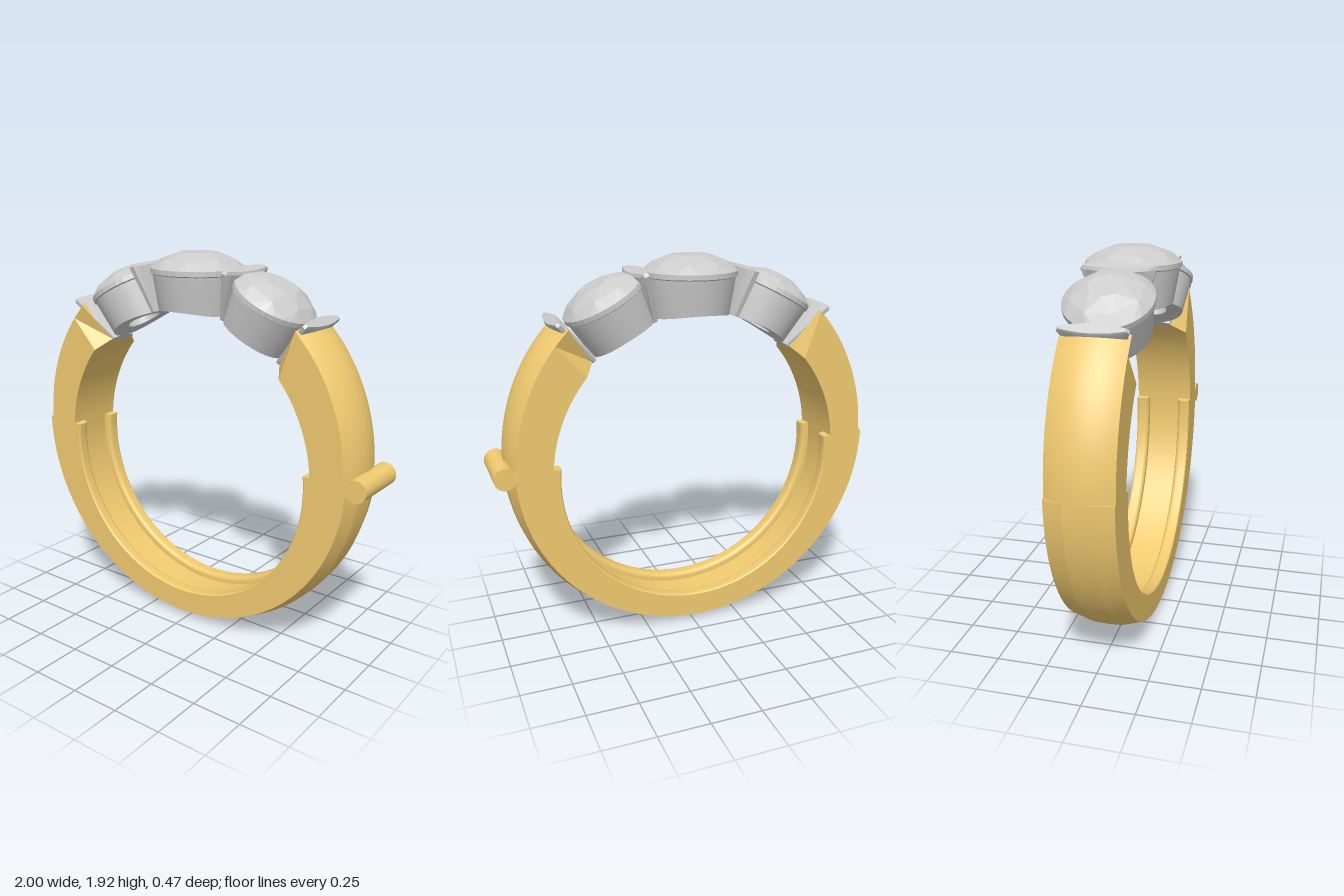
import * as THREE from 'three';
import { toCreasedNormals } from 'three/addons/utils/BufferGeometryUtils.js';
import { ConvexGeometry } from 'three/addons/geometries/ConvexGeometry.js';

const gold = new THREE.MeshStandardMaterial({ color: 0xf0ca70 });
const silver = new THREE.MeshStandardMaterial({ color: 0xcccccc });
const gemMat = new THREE.MeshStandardMaterial({ color: 0xcccccc, flatShading: true });
const RAD = Math.PI / 180;
const HALF = 0.157;      // half width of the band
const FINGER = 0.745;    // finger hole radius
const HOLE_Y = 0.9;      // finger hole centre height
const OUTER_Y = 0.965;   // outer circle centre height

function part(name, geometry, material, crease = 0.5) {
  const mesh = new THREE.Mesh(crease ? toCreasedNormals(geometry, crease) : geometry, material);
  mesh.name = name;
  return mesh;
}

// Closed solid through equal cross-sections; flat = the same section in 2D, counter-clockwise
function loft(sections, flat) {
  const n = flat.length, last = (sections.length - 1) * n, index = [];
  for (let i = 0; i < sections.length - 1; i++) {
    for (let j = 0; j < n; j++) {
      const k = (j + 1) % n, a = i * n + j, b = i * n + k;
      index.push(a, b, b + n, a, b + n, a + n);
    }
  }
  for (const [a, b, c] of THREE.ShapeUtils.triangulateShape(flat, [])) {
    index.push(a, c, b, last + a, last + b, last + c);
  }
  const g = new THREE.BufferGeometry();
  g.setAttribute('position', new THREE.Float32BufferAttribute(sections.flat(2), 3));
  g.setIndex(index);
  return g;
}

const polar = (cy, r, a, z) => [r * Math.cos(a), cy + r * Math.sin(a), z];

// Sweep inner and outer profile points [z, r] around their own circles
function bandGeometry(inner, outer, innerY, inAngles, outAngles, stops, taper) {
  const sections = stops.map((t) => [
    ...inner.map(([z, r]) => polar(innerY, r, THREE.MathUtils.lerp(...inAngles, t) * RAD, z * taper(t))),
    ...outer.map(([z, r]) => polar(OUTER_Y, r, THREE.MathUtils.lerp(...outAngles, t) * RAD, z)),
  ]);
  return loft(sections, [...inner, ...outer].map(([z, r]) => new THREE.Vector2(z, r)));
}

const steps = (n, end = 1) => Array.from({ length: n + 1 }, (_, i) => (end * i) / n);

function lowerBand() {
  // two rounded rails with a groove between them
  const rail = [[HALF, 0.722], [0.152, 0.717], [0.145, 0.715]];
  for (let i = 0; i <= 8; i++) {
    const a = (i / 8) * Math.PI / 2;
    rail.push([0.112 - 0.024 * Math.sin(a), 0.739 - 0.024 * Math.cos(a)]);
  }
  rail.push([0.088, 0.755]);
  const inner = [...rail.map(([z, r]) => [-z, r]), ...rail.slice().reverse()];
  const outer = [[HALF, 0.935], [0.065, 0.962], [0, 0.965], [-0.065, 0.962], [-HALF, 0.935]];
  return bandGeometry(inner, outer, 0.87, [173.6, 366.4], [180, 360], steps(72), () => 1);
}

function shoulder() {
  const outer = steps(14).map((t) => {
    const s = 1 - 2 * t;
    return [HALF * s, 0.965 - 0.045 * s * s];
  });
  const bend = 0.87; // where the tapered end facet starts
  return bandGeometry([[-HALF, 0.752], [HALF, 0.752]], outer, HOLE_Y, [3.5, 46], [-1, 45],
    [...steps(24, bend), 1], (t) => (t > bend ? 1 - 0.55 * (t - bend) / (1 - bend) : 1));
}

// Faceted stone with its girdle at y = 0
function gemGeometry(r) {
  const pts = [new THREE.Vector3(0, -0.6 * r, 0)];
  const rows = [[1, -0.012, 32, 0], [1, 0.012, 32, 0], [0.8, 0.053, 8, 0.5], [0.4, 0.087, 8, 0]];
  for (const [k, y, n, turn] of rows) {
    for (let i = 0; i < n; i++) {
      const a = ((i + turn) / n) * Math.PI * 2;
      pts.push(new THREE.Vector3(k * r * Math.cos(a), y, k * r * Math.sin(a)));
    }
  }
  return new ConvexGeometry(pts);
}

// Tapered cup, its underside bent to the finger hole
function cupGeometry(s) {
  const profile = [[0.1, 0], [0.195, 0], [0.222, 0.15], [0.226, 0.178], [0.2, 0.178], [0.1, 0.06], [0.1, 0]];
  const g = new THREE.LatheGeometry(profile.map(([x, y]) => new THREE.Vector2(x * s, y)), 48);
  const p = g.attributes.position;
  for (let i = 0; i < p.count; i++) {
    const x = p.getX(i), y = p.getY(i);
    p.setY(i, y - (x * x / (2 * FINGER)) * (1 - y / 0.178));
  }
  return g;
}

// Upright plate with a lens-shaped plan, narrowing towards the finger
function plateGeometry(height, topHalf, bottomHalf, thick) {
  const plan = [];
  for (const side of [1, -1]) {
    for (let i = 0; i < 10; i++) {
      const s = side * (1 - i / 5);
      plan.push([side * thick * (0.3 + 0.7 * (1 - s * s)), s]);
    }
    plan.push([side * thick * 0.3, -side]);
  }
  const ring = (y, half, k) => plan.map(([x, z]) => [x * k, y, z * half]);
  const sections = [ring(0, bottomHalf, 0.7), ring(height - 0.015, topHalf, 1), ring(height, topHalf - 0.012, 0.8)];
  // plan runs clockwise in (z, x), so flip both copies
  sections.forEach((s) => s.reverse());
  const flat = plan.map(([x, z]) => new THREE.Vector2(z, x)).reverse();
  const ccw = THREE.ShapeUtils.area(flat) > 0;
  if (!ccw) { sections.forEach((s) => s.reverse()); flat.reverse(); }
  return loft(sections, flat);
}

// Place objects around the finger hole, angle measured from the top towards +x
function around(angle, name, ...children) {
  const g = new THREE.Group();
  g.name = name;
  g.position.set(FINGER * Math.sin(angle * RAD), HOLE_Y + FINGER * Math.cos(angle * RAD), 0);
  g.rotation.z = -angle * RAD;
  g.add(...children);
  return g;
}

function stone(angle, radius, name) {
  const gem = part('gem', gemGeometry(radius), gemMat, 0);
  gem.position.y = 0.186;
  return around(angle, name, part('cup', cupGeometry(radius / 0.235), silver), gem);
}

export function createModel() {
  const ring = new THREE.Group();
  ring.name = 'ring';
  ring.position.x = -0.035;

  // Band
  ring.add(part('lowerBand', lowerBand(), gold, 0.22));
  for (const side of [1, -1]) {
    const arm = part(side > 0 ? 'leftShoulder' : 'rightShoulder', shoulder(), gold, 0.25);
    if (side < 0) arm.rotation.y = Math.PI;
    ring.add(arm);
  }

  // Hinge pin on one side
  const pin = part('hingePin', new THREE.CylinderGeometry(0.055, 0.055, 2 * HALF, 32), gold);
  pin.rotation.x = Math.PI / 2;
  pin.position.set(0.98, 0.935, 0);
  ring.add(pin);

  // Three stones and the plates that divide them
  ring.add(stone(0, 0.235, 'centreStone'));
  for (const side of [1, -1]) {
    const label = side > 0 ? 'left' : 'right';
    ring.add(stone(side * 28.5, 0.21, label + 'Stone'));
    ring.add(around(side * 16.5, label + 'Divider',
      part('plate', plateGeometry(0.25, 0.178, 0.1, 0.043), silver)));
    ring.add(around(side * 43.3, label + 'EndPlate',
      part('plate', plateGeometry(0.28, 0.158, 0.075, 0.032), silver)));
  }

  const model = new THREE.Group();
  model.name = 'threeStoneRing';
  model.add(ring);
  return model;
}
